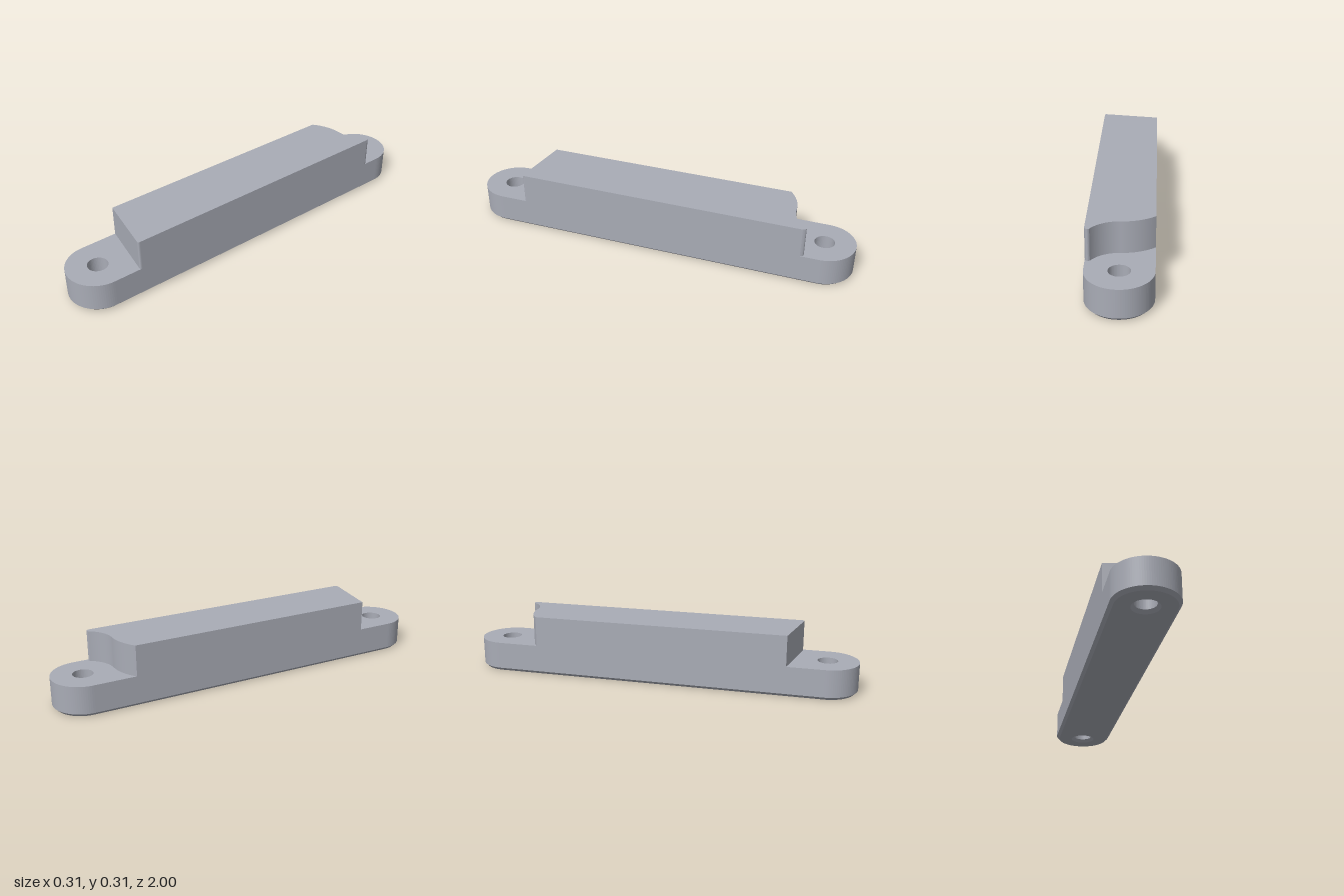
import * as THREE from 'three';

const R = 0.154;        // half width and end radius
const END = 0.846;      // hole distance from the centre
const HOLE = 0.05;
const BASE_H = 0.154;
const TOP_H = 0.155;
const CHAMFER = 0.0154;

// Shapes are drawn in plan with shape y = -z, then stood upright
function extrudeUp(shape, depth, steps) {
  const g = new THREE.ExtrudeGeometry(shape, { depth, steps, bevelEnabled: false, curveSegments: 24 });
  return g.rotateX(-Math.PI / 2);
}

// Rounded-end bar with two holes, bottom edges chamfered
function baseGeometry() {
  const s = new THREE.Shape();
  s.moveTo(R, -END);
  s.lineTo(R, END);
  s.absarc(0, END, R, 0, Math.PI, false);
  s.lineTo(-R, -END);
  s.absarc(0, -END, R, Math.PI, 2 * Math.PI, false);
  for (const side of [-1, 1]) {
    const h = new THREE.Path();
    h.absarc(0, side * END, HOLE, 0, 2 * Math.PI, true);
    s.holes.push(h);
  }
  const g = extrudeUp(s, BASE_H, 2);
  const p = g.attributes.position;
  for (let i = 0; i < p.count; i++) {
    const x = p.getX(i), y = p.getY(i), z = p.getZ(i);
    if (y > 0.01 && y < BASE_H - 0.01) p.setY(i, CHAMFER); // middle ring: top of chamfer
    if (y > 0.01) continue;
    const holeZ = Math.sign(z) * END;
    const inHole = Math.hypot(x, z - holeZ) < HOLE * 1.5;
    const cz = inHole ? holeZ : THREE.MathUtils.clamp(z, -END, END);
    const k = inHole ? (HOLE + CHAMFER) / HOLE : (R - CHAMFER) / R;
    p.setX(i, x * k);
    p.setZ(i, cz + (z - cz) * k);
  }
  g.computeVertexNormals();
  return g;
}

// Raised block: slanted front end, S-curved back end
function blockGeometry() {
  const s = new THREE.Shape();
  s.moveTo(-R, -0.66);
  s.lineTo(0.142, -0.709);
  s.quadraticCurveTo(R, -0.711, R, -0.698);
  s.lineTo(R, 0.753);
  s.quadraticCurveTo(0.146, 0.777, 0.131, 0.765);
  s.absarc(0, END, R, Math.atan2(0.765 - END, 0.131), -Math.PI / 2, true);
  const r = 0.236, cy = END - R - r;
  s.absarc(0, cy, r, Math.PI / 2, Math.PI - Math.acos(R / r), false);
  s.closePath();
  return extrudeUp(s, TOP_H, 1).translate(0, BASE_H, 0);
}

export function createModel() {
  const grey = new THREE.MeshStandardMaterial({ color: 0xa9acb6 });
  grey.name = 'grey';
  const group = new THREE.Group();
  group.name = 'mountingBar';
  const add = (name, geometry) => {
    const m = new THREE.Mesh(geometry, grey);
    m.name = name;
    group.add(m);
  };
  add('base', baseGeometry());
  add('raisedBlock', blockGeometry());
  return group;
}
